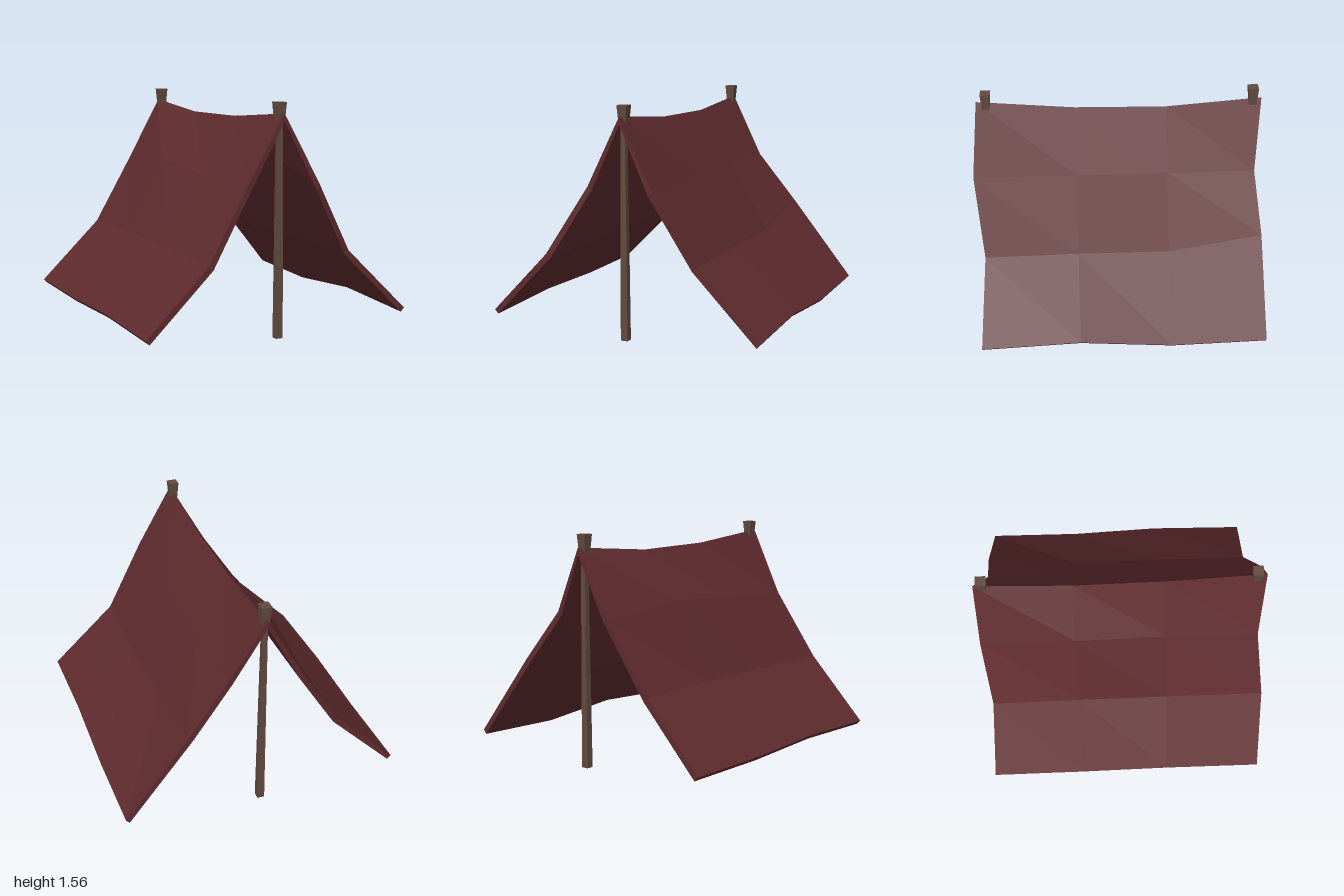
import * as THREE from 'three';

const cloth = new THREE.MeshStandardMaterial({ color: 0x5e2b2e, flatShading: true });
const wood = new THREE.MeshStandardMaterial({ color: 0x624a40, flatShading: true });

// Cloth grid: columns run from the right eave over the ridge to the left eave, rows from front to back
const colX = [-0.98, -0.55, -0.255, 0, 0.245, 0.525, 0.975];
const frontZ = [0.965, 0.985, 0.93, 0.965, 1, 0.935, 0.965];
const backZ = [-0.99, -0.96, -1, -1, -0.945, -0.98, -0.99];
const rowY = [
  [0.115, 0.55, 1.02, 1.49, 1.03, 0.55, 0.11],
  [0.135, 0.56, 1.04, 1.43, 1.03, 0.56, 0.145],
  [0.115, 0.56, 1.09, 1.42, 1.03, 0.56, 0.095],
  [0.12, 0.55, 1.02, 1.475, 1.03, 0.68, 0.115],
];
// Shift from the outer to the inner skin, by distance from the ridge
const inset = [[0, 0.05], [0.03, 0.025], [0.03, 0.028], [0.025, 0.028]];

function skinPoint(i, j, inner) {
  const z = j === 0 ? frontZ[i] : j === 3 ? backZ[i] : j === 1 ? 0.29 : -0.34;
  const bulge = i === 2 && j === 2 ? -0.025 : 0;
  const [dx, dy] = inset[Math.abs(i - 3)];
  const s = inner ? 1 : 0;
  return [colX[i] + bulge - Math.sign(i - 3) * dx * s, rowY[j][i] - dy * s, z];
}

function makeCloth() {
  const pos = [];
  const quad = (a, b, c, d) => pos.push(...a, ...b, ...c, ...a, ...c, ...d);
  // Outer and inner skins
  for (let j = 0; j < 3; j++) {
    for (let i = 0; i < 6; i++) {
      const corners = [[i, j], [i + 1, j], [i + 1, j + 1], [i, j + 1]];
      quad(...corners.map(([a, b]) => skinPoint(a, b, false)));
      quad(...corners.reverse().map(([a, b]) => skinPoint(a, b, true)));
    }
  }
  // Hem around the border
  const border = [];
  for (let i = 0; i < 6; i++) border.push([i, 0]);
  for (let j = 0; j < 3; j++) border.push([6, j]);
  for (let i = 6; i > 0; i--) border.push([i, 3]);
  for (let j = 3; j > 0; j--) border.push([0, j]);
  border.forEach((p, k) => {
    const q = border[(k + 1) % border.length];
    quad(skinPoint(...p, true), skinPoint(...q, true), skinPoint(...q, false), skinPoint(...p, false));
  });
  const g = new THREE.BufferGeometry();
  g.setAttribute('position', new THREE.Float32BufferAttribute(pos, 3));
  g.computeVertexNormals();
  const mesh = new THREE.Mesh(g, cloth);
  mesh.name = 'tentCloth';
  return mesh;
}

// Square tapered post, given bottom and top widths
function squarePost(name, bottom, top, y0, y1) {
  const g = new THREE.CylinderGeometry(top / Math.SQRT2, bottom / Math.SQRT2, y1 - y0, 4);
  g.rotateY(Math.PI / 4);
  g.translate(0, (y0 + y1) / 2, 0);
  const mesh = new THREE.Mesh(g, wood);
  mesh.name = name;
  return mesh;
}

export function createModel() {
  const model = new THREE.Group();
  model.name = 'tent';
  model.add(makeCloth());
  // Two poles with flared caps
  for (const [name, z] of [['frontPole', 0.897], ['backPole', -0.938]]) {
    const pole = new THREE.Group();
    pole.name = name;
    pole.add(squarePost('shaft', 0.05, 0.034, 0, 1.44));
    pole.add(squarePost('cap', 0.05, 0.07, 1.43, 1.56));
    pole.position.z = z;
    model.add(pole);
  }
  return model;
}
